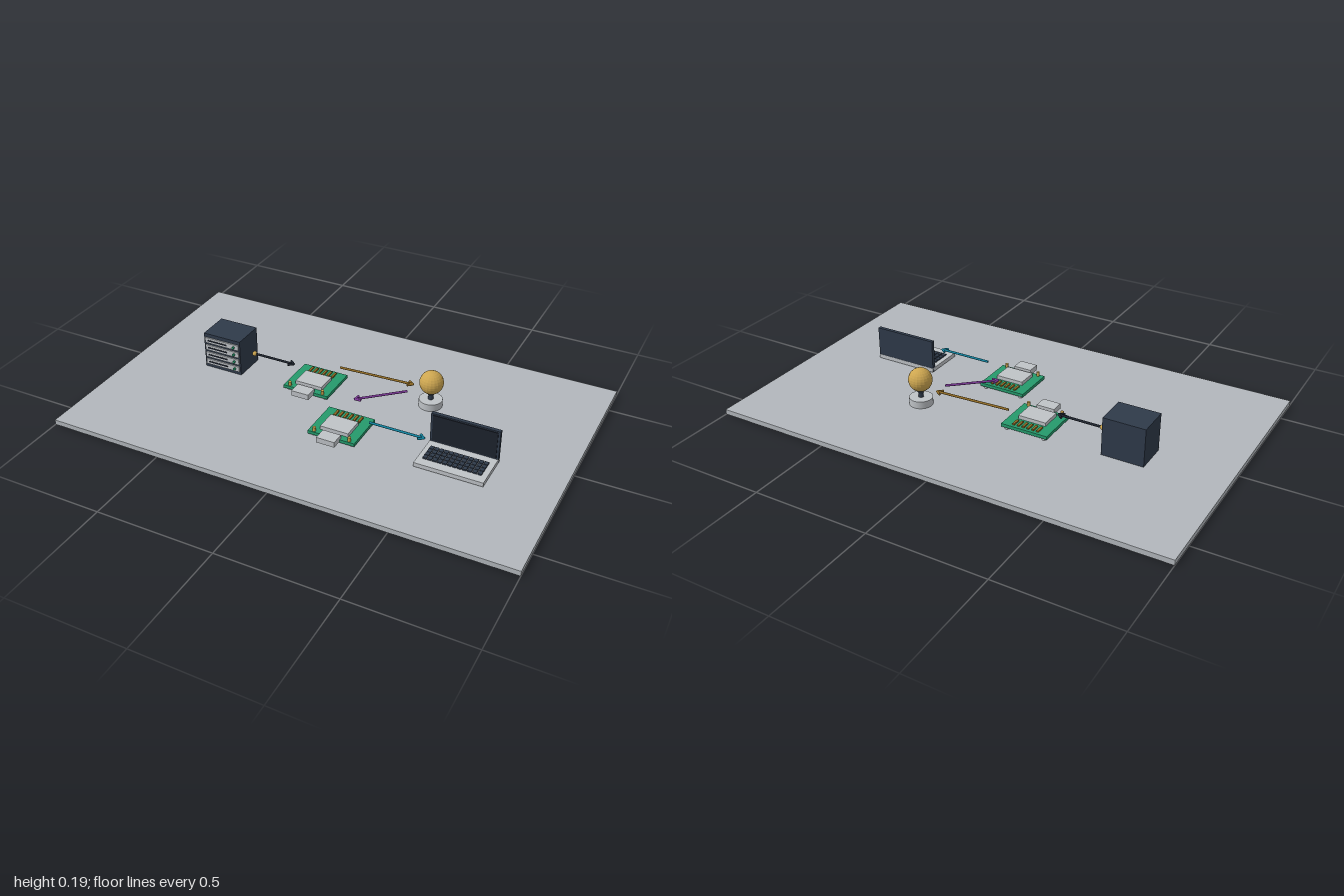
import * as THREE from 'three';

const mat = (name, color) => {
  const m = new THREE.MeshStandardMaterial({ color });
  m.name = name;
  return m;
};

export function createModel() {
  const slab = mat('tableGrey', 0xb2b7bc);
  const navy = mat('navyCase', 0x2f3a4a);
  const black = mat('nearBlack', 0x1c222c);
  const silver = mat('lightSilver', 0xbfc3c7);
  const green = mat('boardGreen', 0x259a6c);
  const gold = mat('gold', 0xcda650);
  const brown = mat('bronze', 0x8f6a24);
  const purple = mat('purple', 0x803a9c);
  const teal = mat('teal', 0x11809c);
  const ballGold = gold.clone();
  ballGold.name = 'faceted gold';
  ballGold.flatShading = true;

  const root = new THREE.Group();
  root.name = 'networkDiorama';

  const group = (name, parent = root) => {
    const g = new THREE.Group();
    g.name = name;
    parent.add(g);
    return g;
  };
  const add = (parent, name, geometry, material, x, y, z) => {
    const m = new THREE.Mesh(geometry, material);
    m.name = name;
    m.position.set(x, y, z);
    parent.add(m);
    return m;
  };
  // Box given by its lower and upper corners
  const box = (parent, name, material, [x0, y0, z0], [x1, y1, z1]) =>
    add(parent, name, new THREE.BoxGeometry(x1 - x0, y1 - y0, z1 - z0), material,
      (x0 + x1) / 2, (y0 + y1) / 2, (z0 + z1) / 2);
  const rod = (parent, name, material, r0, r1, y0, y1, x, z, sides = 24) =>
    add(parent, name, new THREE.CylinderGeometry(r1, r0, y1 - y0, sides), material, x, (y0 + y1) / 2, z);

  box(root, 'tabletop', slab, [-1, 0, -0.625], [1, 0.022, 0.625]);

  // Server cabinet with four drive bays on its front
  const server = group('server');
  box(server, 'cabinet', navy, [-0.677, 0.022, -0.157], [-0.497, 0.187, -0.014]);
  for (let i = 0; i < 4; i++) {
    const y = 0.051 + i * 0.0355;
    box(server, 'driveBay', silver, [-0.669, y - 0.0125, -0.014], [-0.503, y + 0.0125, -0.008]);
    box(server, 'baySlot', black, [-0.656, y - 0.003, -0.008], [-0.56, y + 0.003, -0.006]);
    const light = add(server, 'statusLight', new THREE.CylinderGeometry(0.0055, 0.0055, 0.008, 12), green, -0.525, y, -0.004);
    light.rotation.x = Math.PI / 2;
  }
  add(server, 'outputTerminal', new THREE.SphereGeometry(0.011, 16, 12), gold, -0.468, 0.1, -0.087);

  // Circuit boards, with the connector towards the front
  for (const [side, cx, cz] of [['rear', -0.17, -0.09], ['front', 0.08, 0.16]]) {
    const board = group(side + 'CircuitBoard');
    board.position.set(cx, 0, cz);
    box(board, 'board', green, [-0.104, 0.034, -0.095], [0.104, 0.048, 0.095]);
    box(board, 'chip', silver, [-0.062, 0.048, -0.028], [0.062, 0.064, 0.065]);
    box(board, 'connector', silver, [-0.04, 0.04, 0.084], [0.04, 0.064, 0.142]);
    for (let i = 0; i < 6; i++) {
      const x = -0.055 + i * 0.022;
      box(board, 'contactPin', brown, [x - 0.005, 0.048, -0.082], [x + 0.005, 0.054, -0.044]);
    }
    for (const s of [-1, 1]) {
      rod(board, 'terminalPost', gold, 0.007, 0.007, 0.048, 0.066, s * 0.078, 0.085, 12);
      for (const z of [-0.08, 0.075])
        rod(board, 'foot', silver, 0.008, 0.008, 0.022, 0.034, s * 0.085, z, 12);
    }
  }

  // Faceted ball on a round stand
  const lamp = group('ballStand');
  rod(lamp, 'standBase', silver, 0.05, 0.05, 0.022, 0.054, 0.33, -0.171, 32);
  rod(lamp, 'standPost', navy, 0.011, 0.011, 0.054, 0.09, 0.33, -0.171);
  rod(lamp, 'standCup', navy, 0.012, 0.025, 0.074, 0.095, 0.33, -0.171);
  add(lamp, 'ball', new THREE.SphereGeometry(0.051, 20, 14), ballGold, 0.33, 0.134, -0.171);

  // Laptop: base, keys, touchpad and upright screen
  const laptop = group('laptop');
  box(laptop, 'laptopBase', silver, [0.437, 0.026, 0.075], [0.723, 0.044, 0.255]);
  box(laptop, 'laptopScreen', navy, [0.437, 0.026, 0.076], [0.723, 0.174, 0.092]);
  box(laptop, 'display', black, [0.446, 0.05, 0.092], [0.714, 0.168, 0.095]);
  for (let r = 0; r < 4; r++)
    for (let c = 0; c < 12; c++) {
      const x = 0.458 + c * 0.0205, z = 0.13 + r * 0.022;
      box(laptop, 'key', navy, [x, 0.044, z], [x + 0.0165, 0.05, z + 0.0195]);
    }
  for (const x of [0.48, 0.68])
    for (const z of [0.1, 0.235])
      rod(laptop, 'laptopFoot', black, 0.008, 0.008, 0.022, 0.026, x, z, 12);

  // Flat arrows: a round shaft ending in two barbs
  const arrow = (name, material, x0, z0, x1, z1) => {
    const g = group(name);
    const len = Math.hypot(x1 - x0, z1 - z0);
    g.position.set(x0, 0.1, z0);
    g.rotation.y = -Math.atan2(z1 - z0, x1 - x0);
    const shaft = add(g, 'shaft', new THREE.CylinderGeometry(0.005, 0.005, len, 12), material, len / 2, 0, 0);
    shaft.rotation.z = Math.PI / 2;
    for (const s of [-1, 1]) {
      const barb = add(g, 'barb', new THREE.CylinderGeometry(0.005, 0.005, 0.028, 12), material, len - 0.01, 0, s * 0.008);
      barb.rotation.set(0, s * 0.68, Math.PI / 2, 'YXZ');
    }
  };
  arrow('serverArrow', black, -0.462, -0.087, -0.274, -0.087);
  arrow('bronzeArrow', brown, -0.083, -0.153, 0.247, -0.171);
  arrow('purpleArrow', purple, 0.247, -0.112, 0.08, 0.038);
  arrow('tealArrow', teal, 0.205, 0.162, 0.44, 0.162);

  return root;
}
